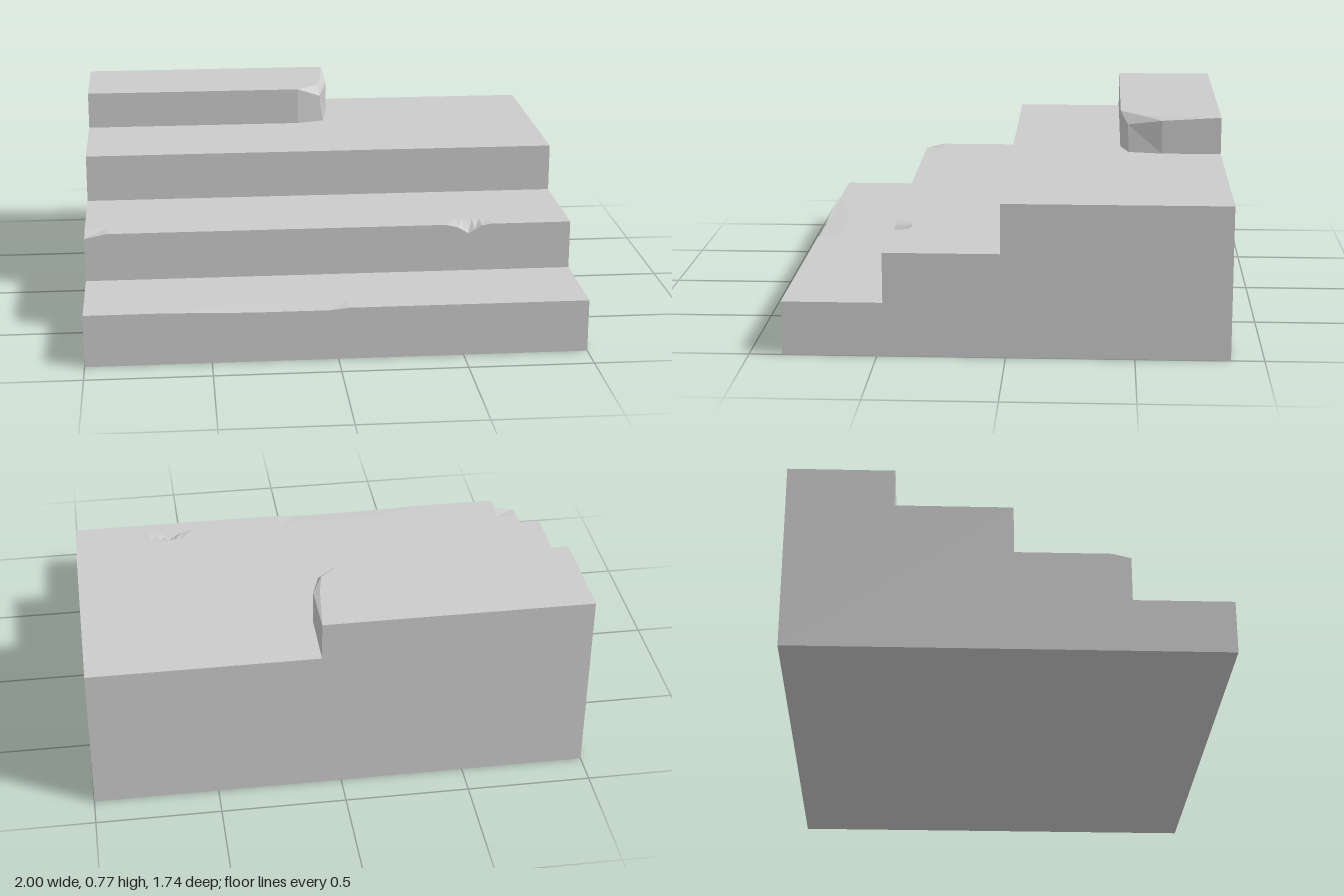
import * as THREE from 'three';

const material = new THREE.MeshStandardMaterial({ color: 0xcccccc, flatShading: true });

// Joins rings of points into a closed solid; flatten projects a cap to 2D counterclockwise.
function loft(name, rings, flatten) {
  const n = rings[0].length, index = [];
  rings.slice(1).forEach((ring, i) => {
    for (let j = 0; j < n; j++) {
      const k = (j + 1) % n;
      const a = i * n + j, b = i * n + k, c = a + n, d = b + n;
      index.push(a, c, d, a, d, b);
    }
  });
  const end = (rings.length - 1) * n;
  const cap = (ring) => THREE.ShapeUtils.triangulateShape(ring.map(flatten), []);
  cap(rings[0]).forEach(([a, b, c]) => index.push(a, b, c));
  cap(rings[rings.length - 1]).forEach(([a, b, c]) => index.push(end + a, end + c, end + b));
  const indexed = new THREE.BufferGeometry().setFromPoints(rings.flat());
  indexed.setIndex(index);
  const geometry = indexed.toNonIndexed();
  geometry.computeVertexNormals();
  const mesh = new THREE.Mesh(geometry, material);
  mesh.name = name;
  return mesh;
}

export function createModel() {
  const group = new THREE.Group();
  group.name = 'wornSteps';

  // Stations along x: [x, wear of the lower step edge, wear of the middle step edge]
  const stations = [
    [-1, 0, 0.018], [-0.91, 0, 0], [-0.68, 0, 0], [-0.34, 0.008, 0], [-0.03, 0.008, 0],
    [0.04, 0, 0], [0.48, 0, 0], [0.53, 0, 0.012], [0.56, 0, 0.03], [0.575, 0, 0.04],
    [0.6, 0, 0.025], [0.63, 0, 0.007], [0.67, 0, 0], [1, 0, 0],
  ];
  const stairs = stations.map(([x, low, mid]) => [
    [-0.87, 0], [0.87, 0], [0.87, 0.215 - low], [0.78, 0.215], [0.475, 0.215],
    [0.475, 0.415 - mid], [0.4, 0.415], [0.02, 0.415], [0.02, 0.613], [-0.87, 0.613],
  ].map(([z, y]) => new THREE.Vector3(x, y, z)));
  group.add(loft('stairs', stairs, (p) => new THREE.Vector2(p.z, p.y)));

  // Upper block with a broken corner: top outline, chipped rim, foot
  const top = 0.77, foot = 0.613;
  const outline = (corner, y) => [
    [-1, y, -0.445], ...corner, [0.08, y, -0.87], [-1, y, -0.87],
  ].map((p) => new THREE.Vector3(...p));
  const block = [
    outline([[-0.06, top, -0.445], [0.035, top, -0.53], [0.055, top, -0.63]], top),
    outline([[-0.06, top, -0.445], [0.04, 0.73, -0.475], [0.08, 0.755, -0.62]], top),
    outline([[-0.06, foot, -0.445], [0.055, foot, -0.48], [0.08, foot, -0.62]], foot),
  ];
  group.add(loft('upperBlock', block, (p) => new THREE.Vector2(p.x, -p.z)));

  return group;
}
